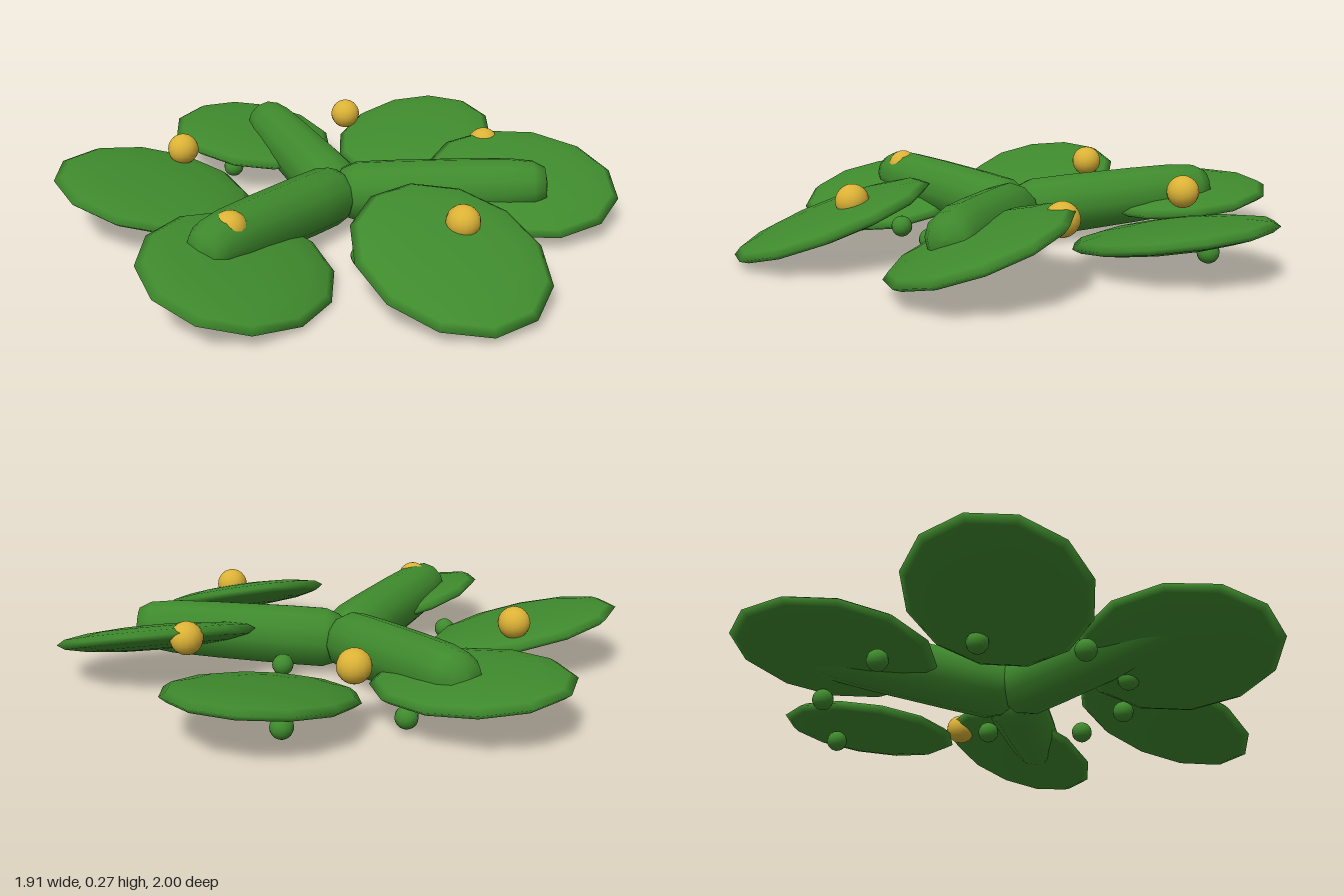
import * as THREE from 'three';

export function createModel() {
  const model = new THREE.Group();
  const green = new THREE.MeshStandardMaterial({ color: 0x3f8a2d });
  green.name = 'leafGreen';
  const yellow = new THREE.MeshStandardMaterial({ color: 0xdcb236 });
  yellow.name = 'flowerYellow';
  const up = new THREE.Vector3(0, 1, 0);

  const add = (name, geometry, material, x, y, z) => {
    const mesh = new THREE.Mesh(geometry, material);
    mesh.name = name;
    mesh.position.set(x, y, z);
    model.add(mesh);
    return mesh;
  };

  // Flat oval pads in a ring: height, slope along x, slope along z
  const padGeometry = new THREE.SphereGeometry(1, 12, 8);
  padGeometry.rotateY(Math.PI / 12);
  padGeometry.scale(0.355, 0.045, 0.308);
  const pads = [
    [0.175, 0.08, -0.32],
    [0.165, 0.04, -0.34],
    [0.128, -0.21, -0.22],
    [0.165, -0.17, -0.17],
    [0.165, -0.07, -0.07],
    [0.15, 0.15, -0.11],
  ];
  pads.forEach(([y, slopeX, slopeZ], i) => {
    const angle = 0.403 + i * Math.PI / 3;
    const pad = add('pad', padGeometry, green, 0.665 * Math.cos(angle), y, 0.665 * Math.sin(angle));
    const normal = new THREE.Vector3(-slopeX, 1, -slopeZ).normalize();
    const yaw = new THREE.Quaternion().setFromAxisAngle(up, -angle);
    pad.quaternion.setFromUnitVectors(up, normal).multiply(yaw);
  });

  // Three thick rounded stems meeting in the middle
  const profile = [
    [0, -0.02], [0.05, -0.01], [0.09, 0.02], [0.109, 0.07], [0.109, 0.2],
    [0.104, 0.45], [0.098, 0.61], [0.085, 0.7], [0.06, 0.742], [0, 0.75],
  ].map(([r, h]) => new THREE.Vector2(r, h));
  const stemGeometry = new THREE.LatheGeometry(profile, 12);
  for (let i = 0; i < 3; i++) {
    const angle = Math.PI / 6 + i * Math.PI * 2 / 3;
    const stem = add('stem', stemGeometry, green, 0, 0.143, 0);
    const direction = new THREE.Vector3(Math.cos(angle), 0.08, Math.sin(angle)).normalize();
    stem.quaternion.setFromUnitVectors(up, direction);
  }

  // Yellow buds on top
  const budGeometry = new THREE.SphereGeometry(0.057, 16, 12);
  [[0.28, -0.535], [-0.45, -0.415], [0.61, 0], [0.16, 0.6], [-0.53, 0.33]]
    .forEach(([x, z]) => add('yellowBud', budGeometry, yellow, x, 0.24, z));

  // Small green nodules underneath
  const noduleGeometry = new THREE.SphereGeometry(0.038, 14, 10);
  [[0.25, 0], [0.13, 0.335], [-0.1, 0.4], [-0.51, 0.075], [0.53, -0.525],
    [0.16, -0.65], [-0.21, -0.54], [-0.44, -0.27], [-0.355, 0.3]]
    .forEach(([x, z]) => add('nodule', noduleGeometry, green, x, 0.085, z));

  return model;
}
